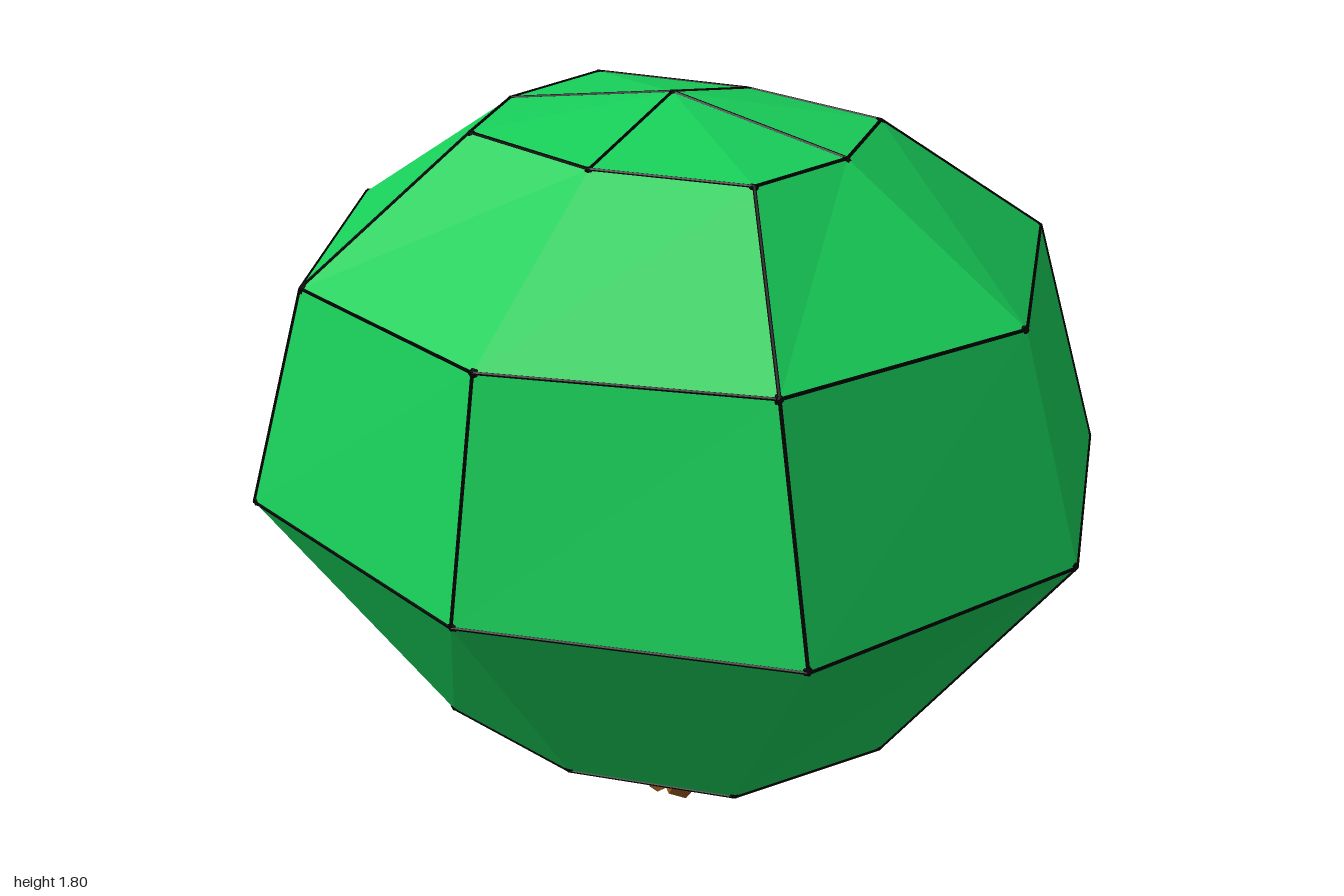
import * as THREE from 'three';

// Faceted crown: octagonal rings, ordered +z, then round through +x
const rings = [
  { y: [0.3, 0.3, 0.3, 0.3, 0.3, 0.3, 0.3, 0.3],
    p: [[-0.02, 0.47], [0.36, 0.37], [0.55, 0.02], [0.36, -0.33], [-0.02, -0.47], [-0.41, -0.33], [-0.6, 0.02], [-0.41, 0.38]] },
  { y: [0.89, 0.88, 0.9, 0.88, 0.89, 0.89, 0.91, 0.91],
    p: [[-0.01, 0.91], [0.7, 0.68], [1, 0.02], [0.75, -0.67], [-0.01, -0.91], [-0.75, -0.67], [-1, 0.01], [-0.71, 0.69]] },
  { y: [1.42, 1.42, 1.42, 1.42, 1.42, 1.42, 1.42, 1.42],
    p: [[-0.01, 0.8], [0.58, 0.6], [0.85, 0.02], [0.62, -0.59], [-0.01, -0.8], [-0.63, -0.59], [-0.87, 0.02], [-0.6, 0.61]] },
  { y: [1.72, 1.72, 1.72, 1.72, 1.72, 1.72, 1.72, 1.72],
    p: [[-0.01, 0.36], [0.34, 0.28], [0.42, 0.02], [0.36, -0.26], [-0.01, -0.32], [-0.38, -0.26], [-0.44, 0.02], [-0.37, 0.28]] },
];
const corners = rings.map((r) => r.p.map(([x, z], i) => new THREE.Vector3(x, r.y[i], z)));
const apex = new THREE.Vector3(-0.01, 1.8, 0.02);
const base = new THREE.Vector3(-0.02, 0.3, 0.01);
const up = new THREE.Vector3(0, 1, 0);

function crownGeometry() {
  const points = [];
  for (let i = 0; i < 8; i++) {
    const j = (i + 1) % 8;
    for (let k = 0; k < 3; k++) {
      const [lo, hi] = [corners[k], corners[k + 1]];
      points.push(lo[i], lo[j], hi[j], lo[i], hi[j], hi[i]);
    }
    points.push(corners[3][i], corners[3][j], apex, corners[0][j], corners[0][i], base);
  }
  const geo = new THREE.BufferGeometry().setFromPoints(points);
  geo.computeVertexNormals();
  return geo;
}

// Straight rod between two points
function rod(name, a, b, rTop, rBottom, sides, material) {
  const dir = b.clone().sub(a);
  const mesh = new THREE.Mesh(new THREE.CylinderGeometry(rTop, rBottom, dir.length(), sides), material);
  mesh.name = name;
  mesh.position.copy(a).addScaledVector(dir, 0.5);
  mesh.quaternion.setFromUnitVectors(up, dir.normalize());
  return mesh;
}

function material(name, color) {
  const m = new THREE.MeshStandardMaterial({ color });
  m.name = name;
  m.flatShading = true;
  return m;
}

export function createModel() {
  const model = new THREE.Group();
  const leafGreen = material('leafGreen', 0x18cf5a);
  const barkBrown = material('barkBrown', 0x965a1e);
  const seamBlack = material('seamBlack', 0x000000);

  const crown = new THREE.Mesh(crownGeometry(), leafGreen);
  crown.name = 'crown';
  model.add(crown);

  // Dark seams along the crown's edges
  const seams = new THREE.Group();
  seams.name = 'seams';
  const addSeam = (a, b) => seams.add(rod('seam', a, b, 0.004, 0.004, 6, seamBlack));
  for (const ring of corners) ring.forEach((p, i) => addSeam(p, ring[(i + 1) % 8]));
  const uprights = [[2, 3, 5], [0, 1, 3, 4, 5, 6, 7], [1, 3, 4, 7], [0, 2, 4, 6]];
  uprights.forEach((list, k) => {
    for (const i of list) addSeam(corners[k][i], k < 3 ? corners[k + 1][i] : apex);
  });
  // Small knots where seams meet, sunk slightly into the crown
  const centre = new THREE.Vector3(0, 1, 0);
  for (const p of [...corners.flat(), apex]) {
    const knot = new THREE.Mesh(new THREE.IcosahedronGeometry(0.013, 0), seamBlack);
    knot.name = 'seamKnot';
    knot.position.copy(p).lerp(centre, 0.009);
    seams.add(knot);
  }
  model.add(seams);

  // Three splayed stems meeting at the ground
  const tips = [['rightStem', -0.18, 0.11], ['leftStem', 0.18, 0.08], ['backStem', -0.01, -0.17]];
  for (const [name, x, z] of tips) {
    const foot = new THREE.Vector3(-0.015 + x * 0.1, 0.024, 0.01 + z * 0.1);
    model.add(rod(name, foot, new THREE.Vector3(x, 0.33, z), 0.042, 0.045, 6, barkBrown));
  }
  return model;
}
